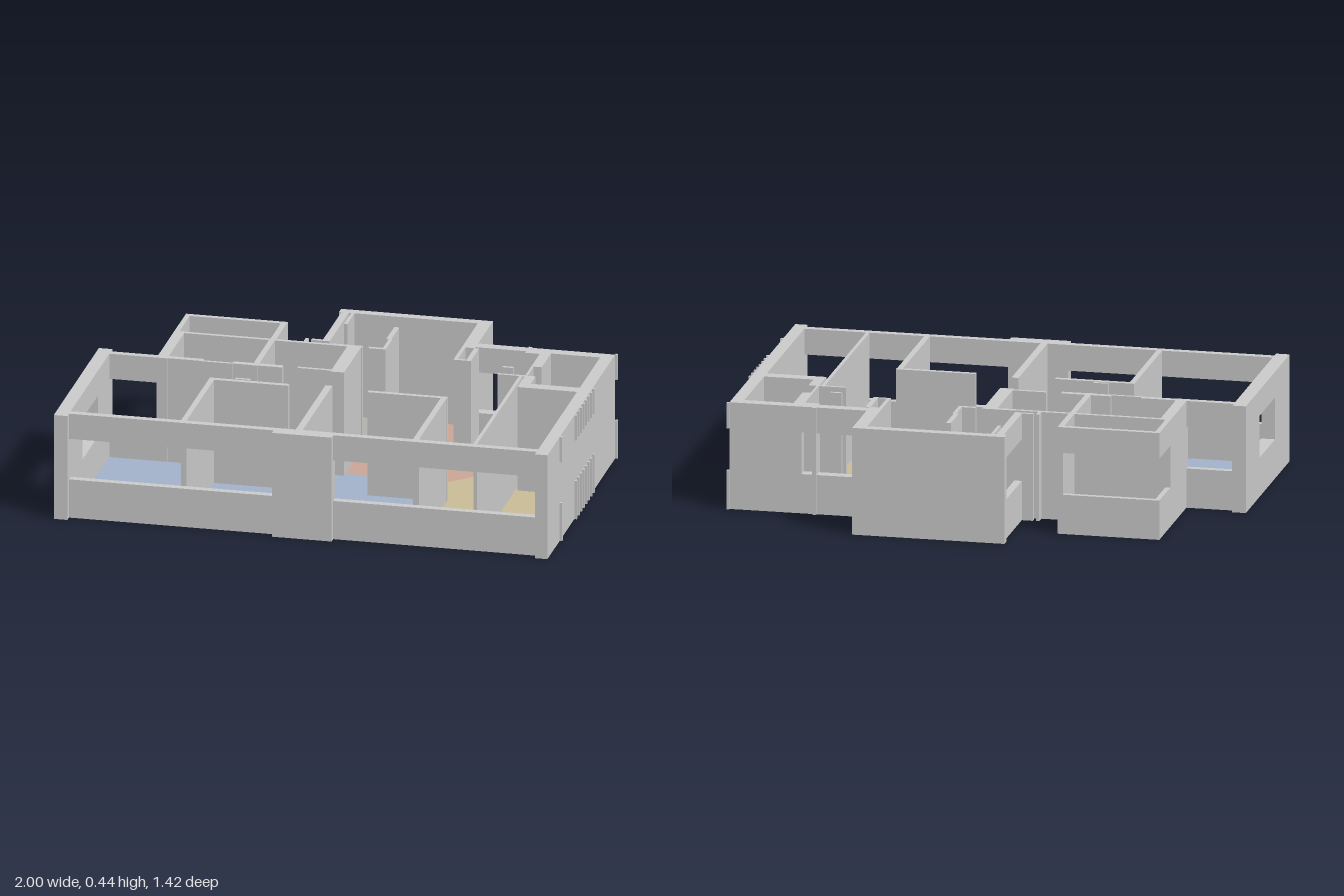
import * as THREE from 'three';

const H = 0.435, SILL = 0.16, HEAD = 0.33;

export function createModel() {
  const model = new THREE.Group();
  model.name = 'apartmentPlan';
  const grey = new THREE.MeshStandardMaterial({ color: 0xcccccc, flatShading: true });

  const block = (parent, name, x0, x1, z0, z1, y0 = 0, y1 = H) => {
    const m = new THREE.Mesh(new THREE.BoxGeometry(x1 - x0, y1 - y0, z1 - z0), grey);
    m.position.set((x0 + x1) / 2, (y0 + y1) / 2, (z0 + z1) / 2);
    m.name = name;
    parent.add(m);
  };
  // Parapet below an opening and lintel above it
  const opening = (parent, name, ...r) => {
    block(parent, name + 'Parapet', ...r, 0, SILL);
    block(parent, name + 'Lintel', ...r, HEAD, H);
  };
  const section = (name) => {
    const g = new THREE.Group();
    g.name = name;
    model.add(g);
    return g;
  };

  // Coloured floors, outlined as [x, z] corners
  const floors = section('floors');
  const floor = (name, color, pts, y = 0.003) => {
    const shape = new THREE.Shape(pts.map(([x, z]) => new THREE.Vector2(x, -z)));
    const geo = new THREE.ShapeGeometry(shape).rotateX(-Math.PI / 2).translate(0, y, 0);
    const m = new THREE.Mesh(geo, new THREE.MeshStandardMaterial({ color, side: THREE.DoubleSide }));
    m.name = name;
    floors.add(m);
  };
  const rect = (x0, x1, z0, z1) => [[x0, z0], [x1, z0], [x1, z1], [x0, z1]];
  floor('livingFloor', 0xa2b2ca, [[-0.95, -0.01], [-0.4, -0.01], [-0.4, -0.04], [0.14, -0.04],
    [0.22, 0.045], [0.325, 0.045], [0.325, 0.15], [0.45, 0.16], [0.45, 0.655], [-0.95, 0.655]]);
  floor('kitchenFloor', 0xcabd96, [[0.6, -0.215], [0.7, -0.215], [0.7, -0.01], [0.94, -0.01],
    [0.94, 0.655], [0.45, 0.655], [0.45, 0.16], [0.325, 0.15], [0.325, 0.045]]);
  floor('hallFloor', 0xcba796, [[0.12, -0.675], [0.385, -0.675], [0.385, -0.26], [0.455, -0.255],
    [0.455, -0.41], [0.7, -0.41], [0.7, -0.215], [0.6, -0.215], [0.325, 0.045], [0.22, 0.045],
    [0.14, -0.04], [0, -0.04], [0, -0.3], [0.095, -0.3], [0.095, -0.55], [0.12, -0.57]]);
  floor('entryFloor', 0xb0b2ab, [[-0.12, -0.675], [0.12, -0.675], [0.12, -0.57], [0.085, -0.55],
    [0.085, -0.325], [-0.12, -0.325]]);
  floor('bathFloorRight', 0x99bebb, rect(-0.71, -0.37, -0.305, -0.04));
  floor('bathFloorLeft', 0x99bebb, rect(-0.345, -0.055, -0.305, -0.04));
  floor('backBalconyFloor', 0xc3bdb2, rect(-0.74, -0.37, -0.5, -0.32));
  floor('storeFloor', 0xa2a0a9, rect(0.74, 0.935, -0.41, -0.06));

  // Front: wide window bands between three piers
  const front = section('frontWall');
  opening(front, 'frontRight', -0.945, -0.12, 0.652, 0.682);
  opening(front, 'frontLeft', 0.12, 0.94, 0.652, 0.682);
  block(front, 'frontPier', -0.12, 0.12, 0.652, 0.71);

  // Right end wall with a window near its middle
  const right = section('rightWall');
  block(right, 'rightWallBack', -1, -0.945, -0.065, 0.18);
  block(right, 'rightWallFront', -1, -0.945, 0.45, 0.71);
  opening(right, 'rightWindow', -1, -0.945, 0.18, 0.45);
  opening(right, 'rightBackWindow', -0.945, -0.755, -0.04, -0.012);

  // Left end wall with thin ribs, low and high
  const left = section('leftWall');
  block(left, 'leftWallMain', 0.94, 0.99, -0.455, 0.71);
  const ribs = [0.493, -0.46];
  for (let i = 0; i < 8; i++) ribs.push(0.24 - i * 0.0435);
  for (const z of ribs) opening(left, 'rib', 0.99, 1, z - 0.006, z + 0.006);

  // Store room at the back left corner
  const store = section('storeRoom');
  block(store, 'storeBack', 0.7, 0.94, -0.455, -0.41);
  block(store, 'storeFront', 0.7, 0.94, -0.06, -0.012);
  block(store, 'storeSideBack', 0.7, 0.742, -0.41, -0.25);
  block(store, 'storeSideFront', 0.7, 0.742, -0.145, -0.06);
  block(store, 'storeSidePanel', 0.7, 0.71, -0.25, -0.145);

  // Back block with a tall shell and a side window
  const back = section('backRoom');
  block(back, 'backWall', -0.175, 0.438, -0.712, -0.675);
  block(back, 'backLeftWall', 0.385, 0.438, -0.675, -0.4);
  block(back, 'backLeftJamb', 0.385, 0.4, -0.4, -0.255);
  block(back, 'backLeftJamb', 0.435, 0.455, -0.4, -0.255);
  block(back, 'backLeftEnd', 0.385, 0.455, -0.268, -0.255);
  opening(back, 'sideWindow', -0.165, -0.135, -0.675, -0.36);
  block(back, 'sidePost', -0.125, -0.112, -0.675, -0.55);
  block(back, 'sidePost', -0.21, -0.135, -0.36, -0.345);
  block(back, 'sidePost', -0.235, -0.222, -0.36, -0.315);
  opening(back, 'leftBackWindow', 0.438, 0.7, -0.455, -0.412);
  block(back, 'leftBackPost', 0.64, 0.655, -0.465, -0.395);
  block(back, 'leftBackPost', 0.655, 0.7, -0.412, -0.395);

  // Small back balcony whose opening wraps the corner
  const balcony = section('backBalcony');
  opening(balcony, 'balconyBack', -0.755, -0.365, -0.52, -0.498);
  opening(balcony, 'balconySide', -0.755, -0.735, -0.498, -0.325);
  block(balcony, 'balconyEnd', -0.368, -0.345, -0.52, -0.32);
  block(balcony, 'balconyWall', -0.755, -0.712, -0.325, -0.012);

  // Inner partitions: [x0, x1, z0, z1]
  const partitions = section('partitions');
  [
    [-0.712, -0.12, -0.322, -0.305], [-0.12, 0.005, -0.325, -0.305], [0.03, 0.1, -0.322, -0.305],
    [-0.37, -0.347, -0.305, -0.012], [-0.055, 0, -0.305, -0.015],
    [-0.712, -0.57, -0.04, -0.015], [-0.57, -0.45, -0.025, -0.012],
    [-0.45, -0.25, -0.04, -0.015], [-0.19, -0.055, -0.04, -0.025],
    [0.075, 0.095, -0.56, -0.42], [0.085, 0.1, -0.42, -0.305],
    [-0.5, -0.18, 0.158, 0.18], [-0.5, -0.478, 0.18, 0.652],
    [-0.038, -0.01, 0.14, 0.652], [-0.4, -0.34, 0.137, 0.15],
    [0.14, 0.46, 0.158, 0.178], [0.435, 0.458, 0.178, 0.652],
    [0.678, 0.692, -0.145, 0.652], [0.59, 0.7, -0.148, -0.135], [0.59, 0.635, -0.23, -0.217],
  ].forEach((r) => block(partitions, 'partition', ...r));

  return model;
}
